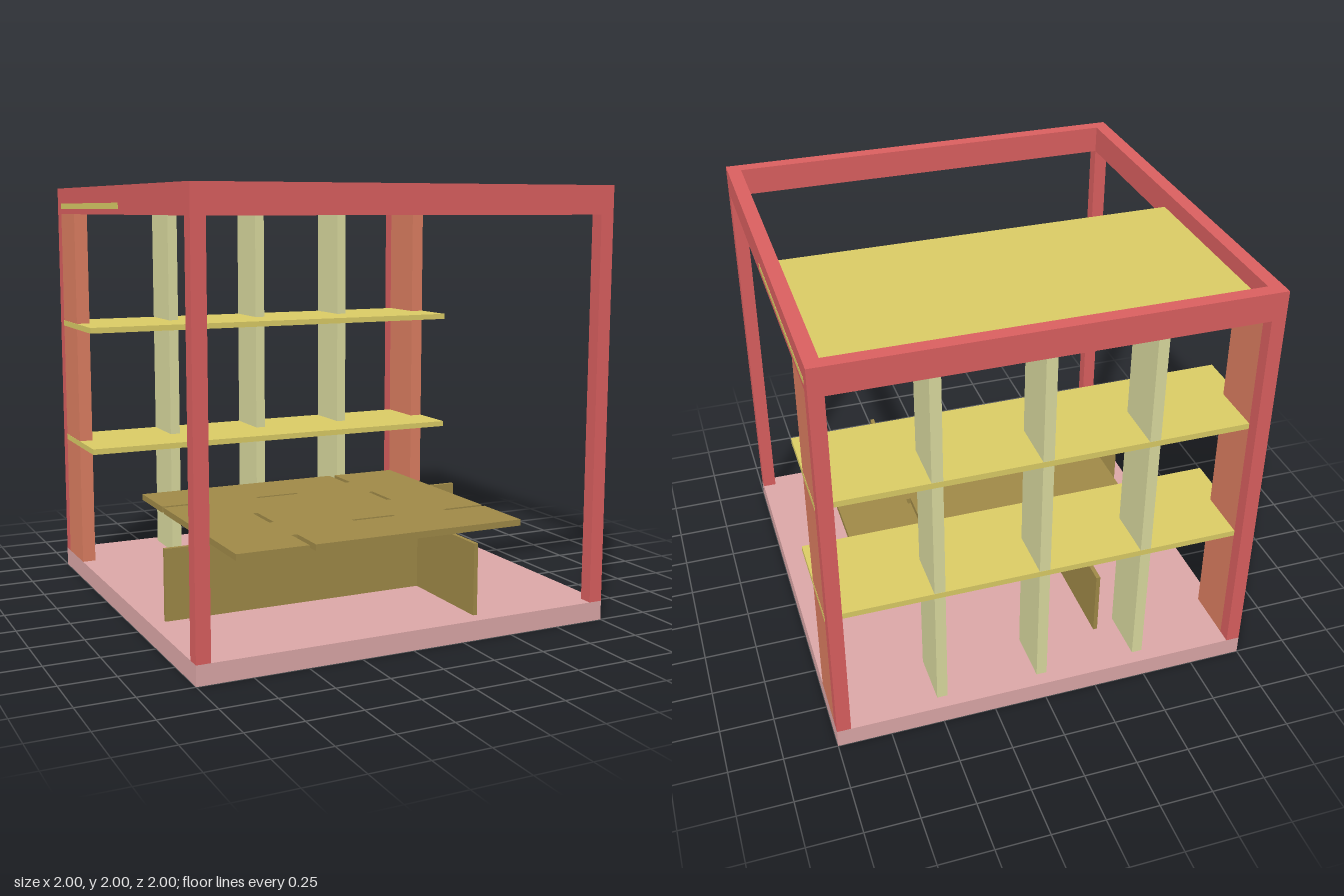
import * as THREE from 'three';

const mat = (color) => new THREE.MeshStandardMaterial({ color });
const red = mat(0xdc6060), pink = mat(0xdda8a8), orange = mat(0xde7f62);
const yellow = mat(0xdccd66), pale = mat(0xdcdca0), brown = mat(0xa08a48);

// Box given by its limits on each axis
function box(name, material, [x0, x1], [y0, y1], [z0, z1]) {
  const mesh = new THREE.Mesh(new THREE.BoxGeometry(x1 - x0, y1 - y0, z1 - z0), material);
  mesh.position.set((x0 + x1) / 2, (y0 + y1) / 2, (z0 + z1) / 2);
  mesh.name = name;
  return mesh;
}

const rect = (x0, x1, y0, y1) =>
  [[x0, y0], [x1, y0], [x1, y1], [x0, y1]].map(([x, y]) => new THREE.Vector2(x, y));

// Flat horizontal plate with holes, standing on y = 0
function plate(name, material, outline, holes, height) {
  const shape = new THREE.Shape(outline);
  for (const h of holes) shape.holes.push(new THREE.Path(h));
  const geo = new THREE.ExtrudeGeometry(shape, { depth: height, bevelEnabled: false });
  geo.rotateX(-Math.PI / 2);
  const mesh = new THREE.Mesh(geo, material);
  mesh.name = name;
  return mesh;
}

// Table: slotted top on four boards arranged as a pinwheel
function createTable() {
  const table = new THREE.Group();
  table.name = 'table';
  table.position.z = 0.1;

  // Half the outline with two open slots; the other half is turned by 180 degrees
  const half = [
    [-0.72, -0.64], [-0.375, -0.64], [-0.375, -0.445], [-0.345, -0.445], [-0.345, -0.64],
    [0.72, -0.64], [0.72, -0.33], [0.5, -0.33], [0.5, -0.305], [0.72, -0.305],
  ].map(([x, y]) => new THREE.Vector2(x, y));
  const turn = (pts) => pts.map((p) => p.clone().negate());
  const slots = [rect(-0.372, -0.348, -0.19, 0.01), rect(0, 0.22, -0.327, -0.305)];
  const top = plate('tableTop', brown, [...half, ...turn(half)], [...slots, ...slots.map(turn)], 0.03);
  top.position.y = 0.42;
  table.add(top);

  for (const side of [0, Math.PI]) {
    const pair = new THREE.Group();
    pair.name = 'tableLegPair';
    pair.rotation.y = side;
    pair.add(
      box('tableLegAcross', brown, [-0.93, 0.345], [0.09, 0.42], [0.305, 0.325]),
      box('tableLegAlong', brown, [0.345, 0.365], [0.09, 0.42], [-0.305, 0.83]),
    );
    table.add(pair);
  }
  return table;
}

export function createModel() {
  const model = new THREE.Group();
  model.name = 'roomWithShelvesAndTable';

  // Floor and open frame
  model.add(box('floor', pink, [-1, 1], [0, 0.09], [-1, 1]));
  const ring = plate('topFrame', red, rect(-1, 1, -1, 1), [rect(-0.935, 0.935, -0.935, 0.935)], 0.13);
  ring.position.y = 1.87;
  model.add(ring);
  const edge = (s) => (s > 0 ? [0.935, 1] : [-1, -0.935]);
  for (const sx of [-1, 1]) {
    for (const sz of [-1, 1]) model.add(box('cornerPost', red, edge(sx), [0.09, 1.87], edge(sz)));
    model.add(box('sidePanel', orange, edge(sx), [0.09, 1.87], [-0.935, -0.685]));
  }

  // Shelves, let into the side panels and frame
  const shelves = [['lowerShelf', 0.695, -0.435], ['upperShelf', 1.295, -0.435], ['topShelf', 1.895, 0.065]];
  for (const [name, y, front] of shelves) {
    model.add(box(name, yellow, [-1.001, 1.001], [y, y + 0.028], [-0.936, front]));
  }

  // Uprights between the shelves
  for (const x of [-0.488, 0, 0.488]) {
    model.add(box('shelfUpright', pale, [x - 0.025, x + 0.025], [0.09, 1.895], [-0.935, -0.685]));
  }

  model.add(createTable());
  return model;
}
